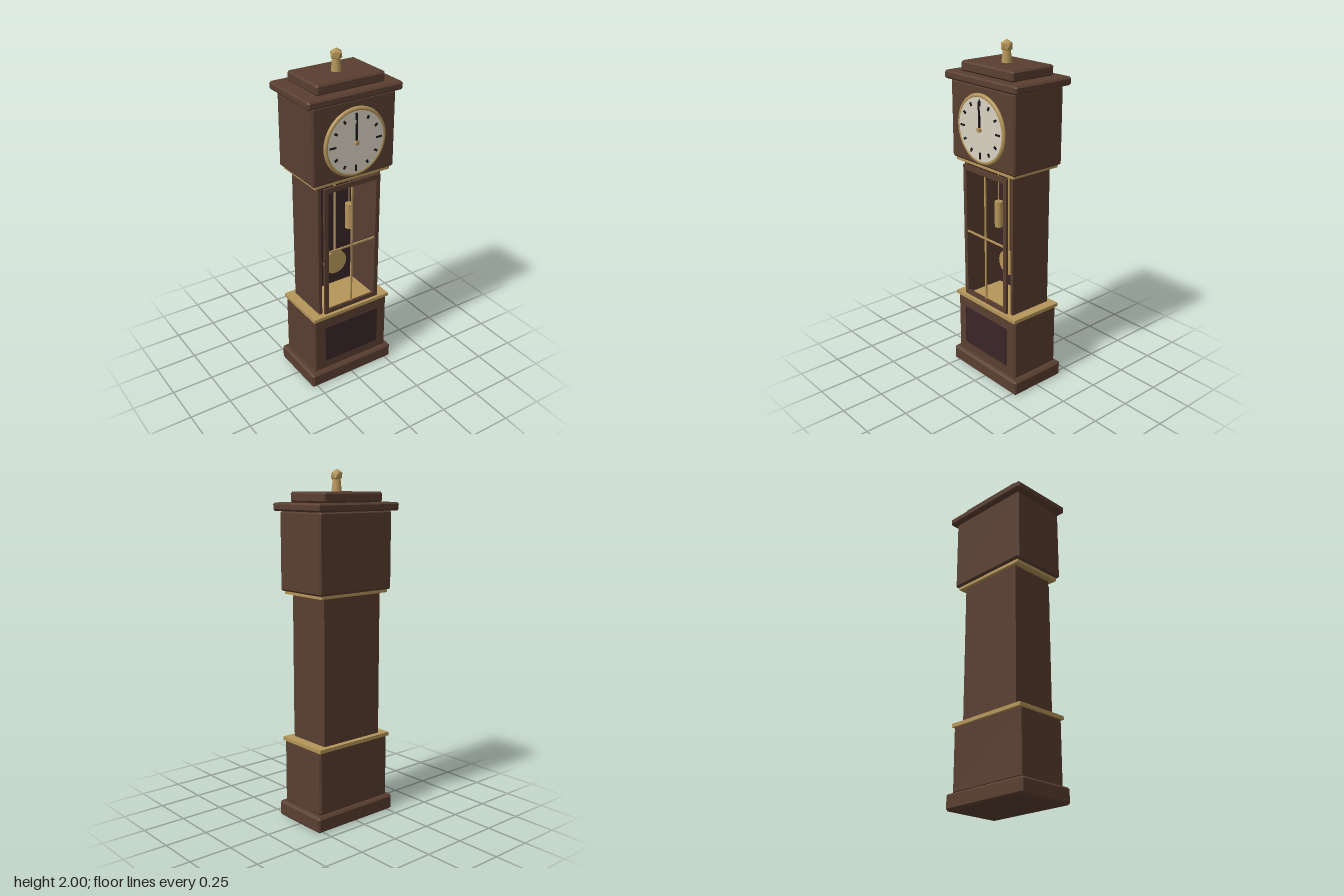
import * as THREE from 'three';
import { ConvexGeometry } from 'three/addons/geometries/ConvexGeometry.js';

const material = (name, color) => {
  const m = new THREE.MeshStandardMaterial({ color });
  m.name = name;
  return m;
};

export function createModel() {
  const wood = material('walnut', 0x593e30);
  const dark = material('dark walnut', 0x3a2528);
  const brass = material('brass', 0xb6965a);
  const cream = material('cream dial', 0xd8d2c0);
  const black = material('black', 0x1c1a1c);
  const clock = new THREE.Group();
  clock.name = 'longcaseClock';

  const add = (name, geometry, mat, x = 0, y = 0, z = 0, parent = clock) => {
    const mesh = new THREE.Mesh(geometry, mat);
    mesh.name = name;
    mesh.position.set(x, y, z);
    parent.add(mesh);
    return mesh;
  };

  // Box centred on x = cx, given by its y and z limits
  const slab = (name, mat, halfW, y0, y1, z0, z1, cx = 0) =>
    add(name, new THREE.BoxGeometry(halfW * 2, y1 - y0, z1 - z0), mat, cx, (y0 + y1) / 2, (z0 + z1) / 2);

  // Same box with chamfered edges: the hull of three points at each corner
  const chamfered = (name, halfW, y0, y1, z0, z1, c = 0.01) => {
    const h = [halfW, (y1 - y0) / 2, (z1 - z0) / 2];
    const points = [];
    for (const sx of [-1, 1]) for (const sy of [-1, 1]) for (const sz of [-1, 1])
      for (let axis = 0; axis < 3; axis++) {
        const p = [sx, sy, sz].map((s, i) => s * (h[i] - (i === axis ? 0 : c)));
        points.push(new THREE.Vector3(...p));
      }
    return add(name, new ConvexGeometry(points), wood, 0, (y0 + y1) / 2, (z0 + z1) / 2);
  };

  // Base
  chamfered('plinth', 0.285, 0, 0.092, -0.185, 0.18, 0.012);
  chamfered('base', 0.256, 0.09, 0.467, -0.163, 0.158);
  slab('basePanel', dark, 0.185, 0.157, 0.397, 0.15, 0.165);
  slab('lowerTrim', brass, 0.262, 0.461, 0.482, -0.171, 0.167);

  // Hollow trunk, open at the front
  for (const s of [-1, 1])
    slab(s > 0 ? 'trunkSideLeft' : 'trunkSideRight', wood, 0.01, 0.48, 1.317, -0.14, 0.13, s * 0.195);
  slab('trunkBack', wood, 0.186, 0.48, 1.317, -0.14, -0.12);
  slab('trunkBackLining', dark, 0.185, 0.482, 1.315, -0.12, -0.112);

  // Door frame with glazing bars
  const frame = new THREE.Shape();
  const outline = (path, w, y0, y1) =>
    path.moveTo(-w, y0).lineTo(w, y0).lineTo(w, y1).lineTo(-w, y1).closePath();
  outline(frame, 0.184, 0.493, 1.3);
  const opening = new THREE.Path();
  outline(opening, 0.158, 0.52, 1.27);
  frame.holes.push(opening);
  add('doorFrame', new THREE.ExtrudeGeometry(frame, { depth: 0.014, bevelEnabled: false }), wood, 0, 0, 0.147);
  slab('doorBarVertical', brass, 0.005, 0.52, 1.27, 0.15, 0.158);
  slab('doorBarHorizontal', brass, 0.158, 0.894, 0.904, 0.15, 0.158);

  // Pendulum
  add('pendulumRod', new THREE.CylinderGeometry(0.007, 0.007, 0.6, 10), brass, 0, 0.99, -0.02);
  add('pendulumBob', new THREE.CylinderGeometry(0.075, 0.075, 0.02, 32).rotateX(Math.PI / 2), brass, 0, 0.698, -0.02);

  // Weights on cables
  for (const s of [-1, 1]) {
    const weight = new THREE.Group();
    weight.name = s > 0 ? 'weightLeft' : 'weightRight';
    weight.position.set(s * 0.116, 0, -0.043);
    clock.add(weight);
    add('weightBody', new THREE.CylinderGeometry(0.024, 0.024, 0.16, 16), brass, 0, 0.965, 0, weight);
    add('weightCable', new THREE.CylinderGeometry(0.003, 0.003, 0.21, 6), brass, 0, 1.148, 0, weight);
  }

  // Hood and stepped top
  slab('upperTrim', brass, 0.242, 1.315, 1.336, -0.162, 0.16);
  chamfered('hood', 0.262, 1.333, 1.775, -0.177, 0.174);
  chamfered('cornice', 0.295, 1.774, 1.82, -0.203, 0.194);
  chamfered('cap', 0.213, 1.819, 1.877, -0.152, 0.143);

  // Finial: tapered stem with a faceted ball standing on a vertex
  add('finialStem', new THREE.CylinderGeometry(0.02, 0.029, 0.09, 16), brass, 0, 1.918, -0.004);
  const ball = new THREE.IcosahedronGeometry(0.036, 0).rotateZ(-Math.atan(2 / (1 + Math.sqrt(5))));
  add('finialBall', ball, brass, 0, 1.964, -0.004);

  // Dial
  const dial = new THREE.Group();
  dial.name = 'dial';
  dial.position.set(0, 1.54, 0);
  clock.add(dial);
  add('dialRing', new THREE.TorusGeometry(0.183, 0.013, 10, 48), brass, 0, 0, 0.175, dial);
  add('dialFace', new THREE.CylinderGeometry(0.178, 0.178, 0.013, 48).rotateX(Math.PI / 2), cream, 0, 0, 0.179, dial);
  for (let i = 0; i < 12; i++) {
    const major = i % 3 === 0;
    const a = (i * Math.PI) / 6;
    const tick = new THREE.BoxGeometry(major ? 0.01 : 0.012, major ? 0.037 : 0.02, 0.005);
    const mark = add('hourMark', tick, black, Math.sin(a) * 0.146, Math.cos(a) * 0.146, 0.188, dial);
    mark.rotation.z = -a;
  }
  add('hourHand', new THREE.BoxGeometry(0.013, 0.11, 0.004), black, 0, 0.052, 0.19, dial);
  add('minuteHand', new THREE.BoxGeometry(0.008, 0.155, 0.004), black, 0, 0.076, 0.194, dial);
  add('dialHub', new THREE.CylinderGeometry(0.013, 0.013, 0.02, 16).rotateX(Math.PI / 2), brass, 0, 0, 0.191, dial);

  return clock;
}
